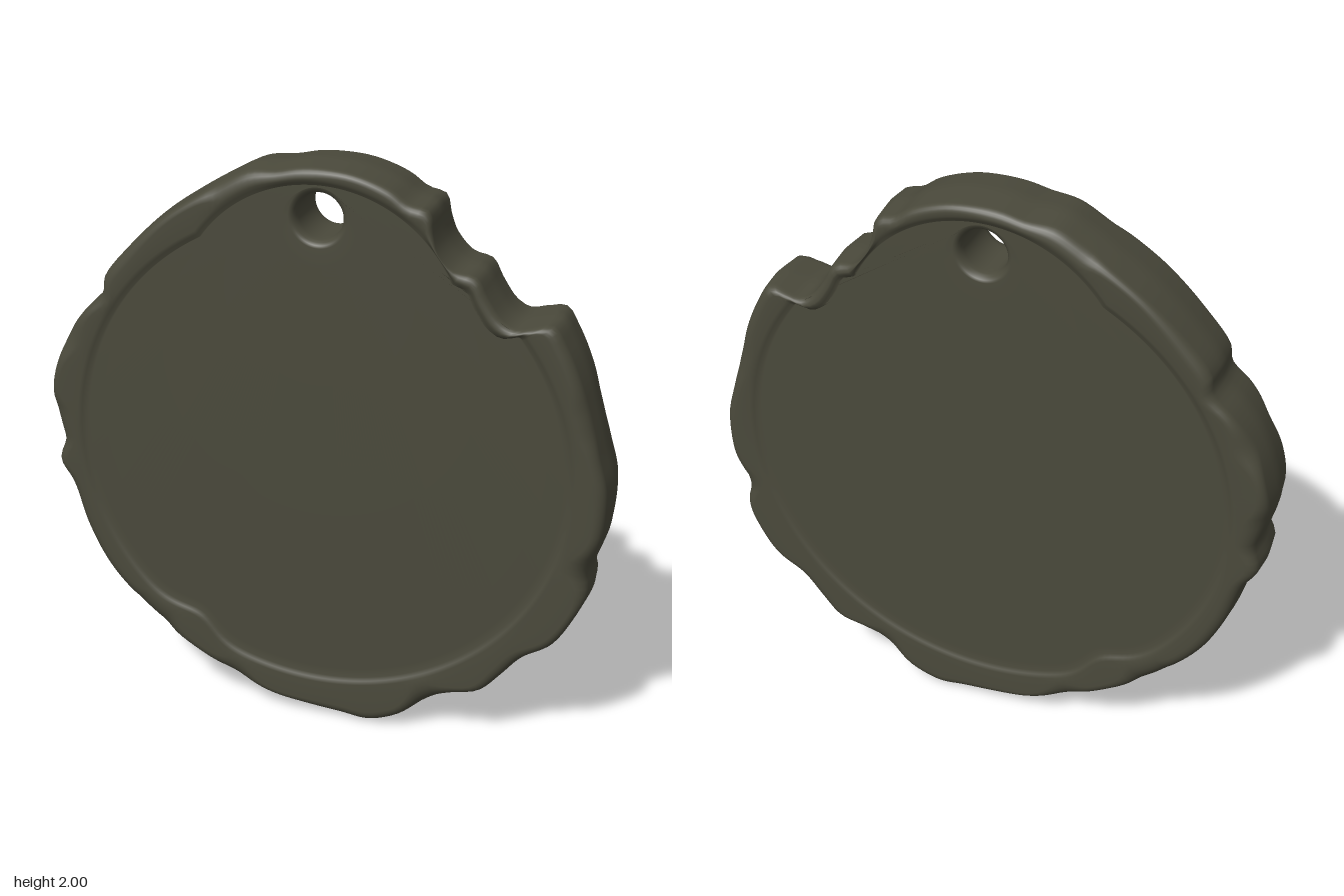
import * as THREE from 'three';

// Outer silhouette, clockwise from the top (x, y pairs)
const OUTLINE = [
  0, 2, 0.12, 1.99, 0.24, 1.95, 0.3, 1.91, 0.365, 1.89, 0.38, 1.82, 0.4, 1.76, 0.45, 1.71, 0.525, 1.69,
  0.56, 1.63, 0.61, 1.56, 0.655, 1.535, 0.71, 1.545, 0.775, 1.555, 0.82, 1.49, 0.87, 1.38, 0.91, 1.25,
  0.945, 1.12, 0.975, 1, 0.97, 0.85, 0.95, 0.78, 0.925, 0.7, 0.93, 0.63, 0.89, 0.53, 0.82, 0.42,
  0.72, 0.35, 0.65, 0.27, 0.58, 0.2, 0.48, 0.17, 0.38, 0.11, 0.28, 0.04, 0.18, 0.005, 0.08, 0.015,
  -0.05, 0.03, -0.17, 0.05, -0.32, 0.1, -0.45, 0.17, -0.58, 0.25, -0.7, 0.36, -0.8, 0.48, -0.87, 0.62,
  -0.92, 0.78, -0.965, 0.86, -0.945, 0.94, -0.96, 1, -0.98, 1.1, -0.95, 1.24, -0.9, 1.35, -0.84, 1.43,
  -0.77, 1.5, -0.76, 1.56, -0.67, 1.67, -0.55, 1.78, -0.42, 1.87, -0.32, 1.93, -0.24, 1.97, -0.14, 1.98,
  -0.07, 1.995,
];

// Worn spots on the edge: x, y, extra bevel
const DENTS = [
  [-0.95, 1.02, 0.06], [-0.9, 1.32, 0.04], [0.93, 0.7, 0.05], [0.4, 0.12, 0.05],
  [-0.62, 0.3, 0.06], [-0.32, 0.1, 0.04], [0.9, 1.24, 0.02], [0.45, 1.7, 0.03], [-0.3, 1.93, 0.03],
];

const SEGMENTS = 260, HALF = 0.132, FACE = 0.12;
const CENTRE_Y = 1, HOLE_Y = 1.83, HOLE_R = 0.077, HOLE_EDGE = 0.1;

function outlineSamples() {
  const pts = [];
  for (let i = 0; i < OUTLINE.length; i += 2) pts.push(new THREE.Vector3(OUTLINE[i], OUTLINE[i + 1], 0));
  return new THREE.CatmullRomCurve3(pts, true).getSpacedPoints(SEGMENTS).slice(0, -1);
}

// One radial section, from the middle of the hole wall to the middle of the outer edge
function halfSection(p) {
  const R = Math.hypot(p.x, p.y - CENTRE_Y);
  const ux = p.x / R, uy = (p.y - CENTRE_Y) / R;
  const section = [];
  const add = (cy, r, z) => section.push([ux * r, cy + uy * r, z]);

  // Recess border: an ellipse kept inside the edge and outside the hole
  const step = 0.05 * Math.exp(-(((p.x + 0.52) / 0.1) ** 2)) * (uy < 0 ? 1 : 0);
  let recess = 1 / Math.hypot(ux / 0.845, uy / 0.83) - step;
  recess = Math.min(recess, R - 0.06);
  recess = Math.max(recess, HOLE_EDGE + (HOLE_Y - CENTRE_Y) * uy + 0.008);
  const gap = R - recess;

  // Edge bevel, wider at the worn spots
  let bevel = 0.04 + 0.008 * Math.sin(p.x * 9 + p.y * 5);
  for (const [x, y, d] of DENTS) bevel += d * Math.exp(-((p.x - x) ** 2 + (p.y - y) ** 2) / 0.006);
  bevel = Math.min(bevel, gap * 0.6);

  // Hole wall and rounded lip
  add(HOLE_Y, HOLE_R, 0);
  add(HOLE_Y, HOLE_R, 0.05);
  for (let k = 0; k <= 4; k++) {
    const a = (k / 4) * Math.PI / 2;
    add(HOLE_Y, HOLE_EDGE - (HOLE_EDGE - HOLE_R) * Math.cos(a), 0.08 + (FACE - 0.08) * Math.sin(a));
  }
  // Flat face
  for (const t of [0.04, 0.3, 0.6, 0.9, 0.98, 1]) {
    add(THREE.MathUtils.lerp(HOLE_Y, CENTRE_Y, t), THREE.MathUtils.lerp(HOLE_EDGE, recess, t), FACE);
  }
  // Raised rim
  const rise = Math.min(0.025, gap * 0.3);
  add(CENTRE_Y, recess + rise * 0.5, (FACE + HALF) / 2);
  add(CENTRE_Y, recess + rise, HALF);
  // Rounded outer edge
  for (let k = 0; k <= 6; k++) {
    const a = (k / 6) * Math.PI / 2;
    add(CENTRE_Y, R - 0.008 - (bevel - 0.008) * (1 - Math.sin(a)), HALF - bevel * 0.8 * (1 - Math.cos(a)));
  }
  add(CENTRE_Y, R - 0.002, 0.03);
  add(CENTRE_Y, R, 0);
  return section;
}

// Closed loop of rings: front half outwards, mirrored back half inwards
function discGeometry() {
  const positions = [], index = [];
  let rings = 0;
  for (const p of outlineSamples()) {
    const front = halfSection(p);
    const back = front.slice(1, -1).reverse().map(([x, y, z]) => [x, y, -z]);
    const loop = [...front, ...back];
    rings = loop.length;
    positions.push(...loop.flat());
  }
  for (let i = 0; i < SEGMENTS; i++) {
    for (let k = 0; k < rings; k++) {
      const at = (s, r) => (s % SEGMENTS) * rings + (r % rings);
      const a = at(i, k), b = at(i, k + 1), c = at(i + 1, k + 1), d = at(i + 1, k);
      index.push(a, c, b, a, d, c);
    }
  }
  const geometry = new THREE.BufferGeometry();
  geometry.setAttribute('position', new THREE.Float32BufferAttribute(positions, 3));
  geometry.setIndex(index);
  geometry.computeVertexNormals();
  return geometry;
}

export function createModel() {
  const darkStone = new THREE.MeshStandardMaterial({ color: 0x4a493b });
  darkStone.name = 'darkStone';
  const disc = new THREE.Mesh(discGeometry(), darkStone);
  disc.name = 'wornPendantDisc';
  const model = new THREE.Group();
  model.name = 'pendant';
  model.add(disc);
  return model;
}
